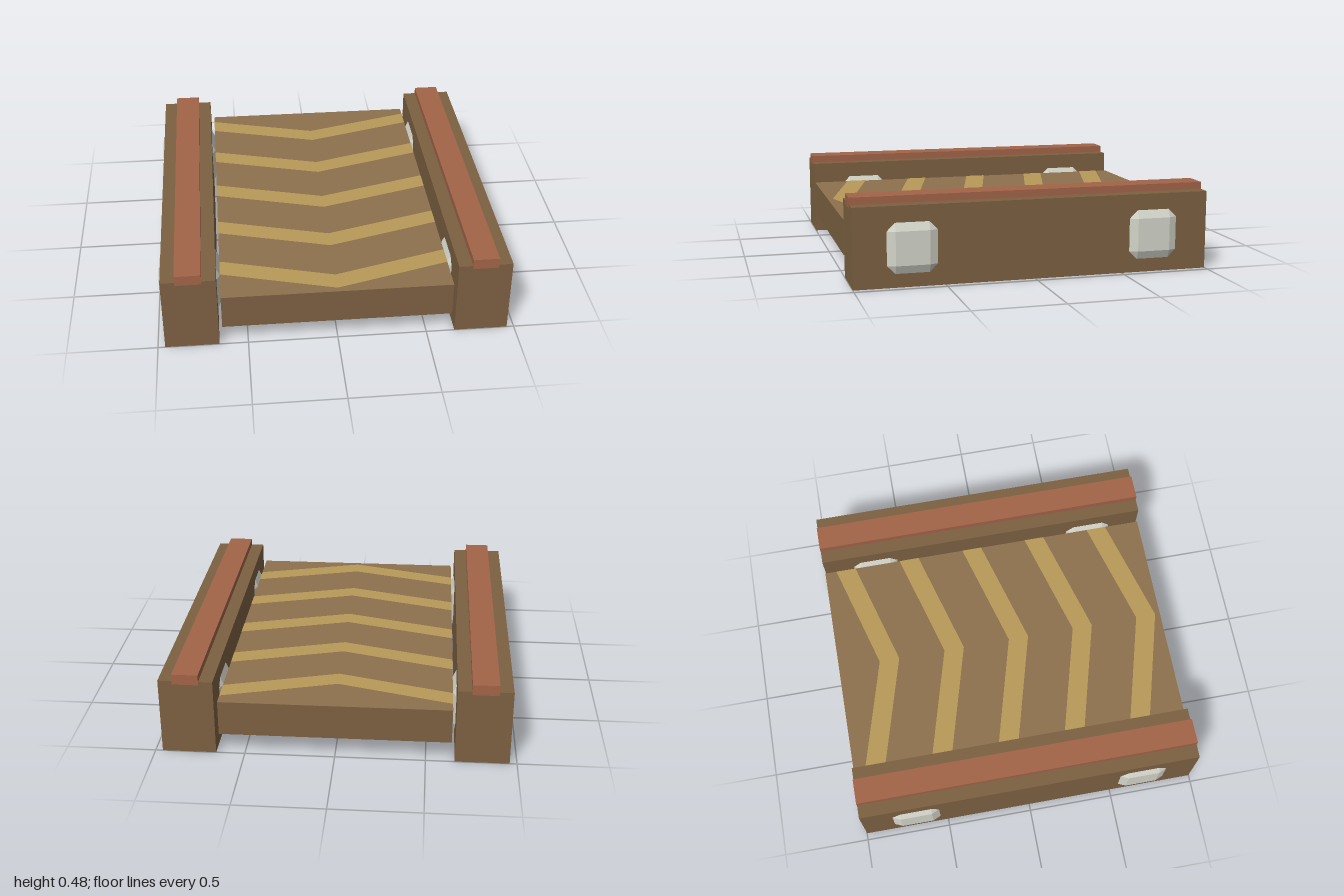
import * as THREE from 'three';
import { ConvexGeometry } from 'three/addons/geometries/ConvexGeometry.js';

const paint = (color) => new THREE.MeshStandardMaterial({ color, flatShading: true });
const wood = paint(0x7d6142);
const deckTop = paint(0x8f714e);
const stripe = paint(0xb99a59);
const rust = paint(0xa36448);
const pale = paint(0xd5d6cb);

function add(parent, name, geometry, material, x = 0, y = 0, z = 0) {
  const mesh = new THREE.Mesh(geometry, material);
  mesh.name = name;
  mesh.position.set(x, y, z);
  parent.add(mesh);
  return mesh;
}

// Box whose edges and corners are all cut once
function chamferedBox(hx, hy, hz, cx, c) {
  const points = [];
  for (const x of [-1, 1]) for (const y of [-1, 1]) for (const z of [-1, 1]) {
    points.push(
      new THREE.Vector3(x * hx, y * (hy - c), z * (hz - c)),
      new THREE.Vector3(x * (hx - cx), y * hy, z * (hz - c)),
      new THREE.Vector3(x * (hx - cx), y * (hy - c), z * hz));
  }
  return new ConvexGeometry(points);
}

// Flat V pointing to +z once laid down
function chevronGeometry(halfWidth, depth, band) {
  const shape = new THREE.Shape();
  shape.moveTo(-halfWidth, depth);
  shape.lineTo(-halfWidth, depth - band);
  shape.lineTo(0, -band);
  shape.lineTo(halfWidth, depth - band);
  shape.lineTo(halfWidth, depth);
  shape.lineTo(0, 0);
  return new THREE.ShapeGeometry(shape).rotateX(-Math.PI / 2);
}

export function createModel() {
  const model = new THREE.Group();
  model.name = 'conveyor';

  // Deck with its lighter running surface
  add(model, 'deck', new THREE.BoxGeometry(1.28, 0.2, 2), wood, 0, 0.22, 0);
  add(model, 'deckSurface', new THREE.PlaneGeometry(1.28, 2).rotateX(-Math.PI / 2), deckTop, 0, 0.321, 0);

  // Direction stripes
  const chevron = chevronGeometry(0.64, 0.18, 0.12);
  for (let i = 0; i < 5; i++) add(model, 'chevron', chevron, stripe, 0, 0.323, -0.75 + i * 0.4);

  // Side rails with capping strips and rollers passing through
  const pad = chamferedBox(0.17, 0.1375, 0.1375, 0.02, 0.045);
  for (const side of [1, -1]) {
    const rail = new THREE.Group();
    rail.name = side > 0 ? 'leftRail' : 'rightRail';
    rail.position.x = side * 0.81;
    add(rail, 'railBeam', new THREE.BoxGeometry(0.3, 0.44, 1.998), wood, 0, 0.22, 0);
    add(rail, 'railCap', new THREE.BoxGeometry(0.145, 0.06, 2), rust, 0, 0.45, 0);
    for (const z of [0.68, -0.68]) add(rail, 'railPad', pad, pale, 0, 0.2125, z);
    model.add(rail);
  }
  return model;
}
